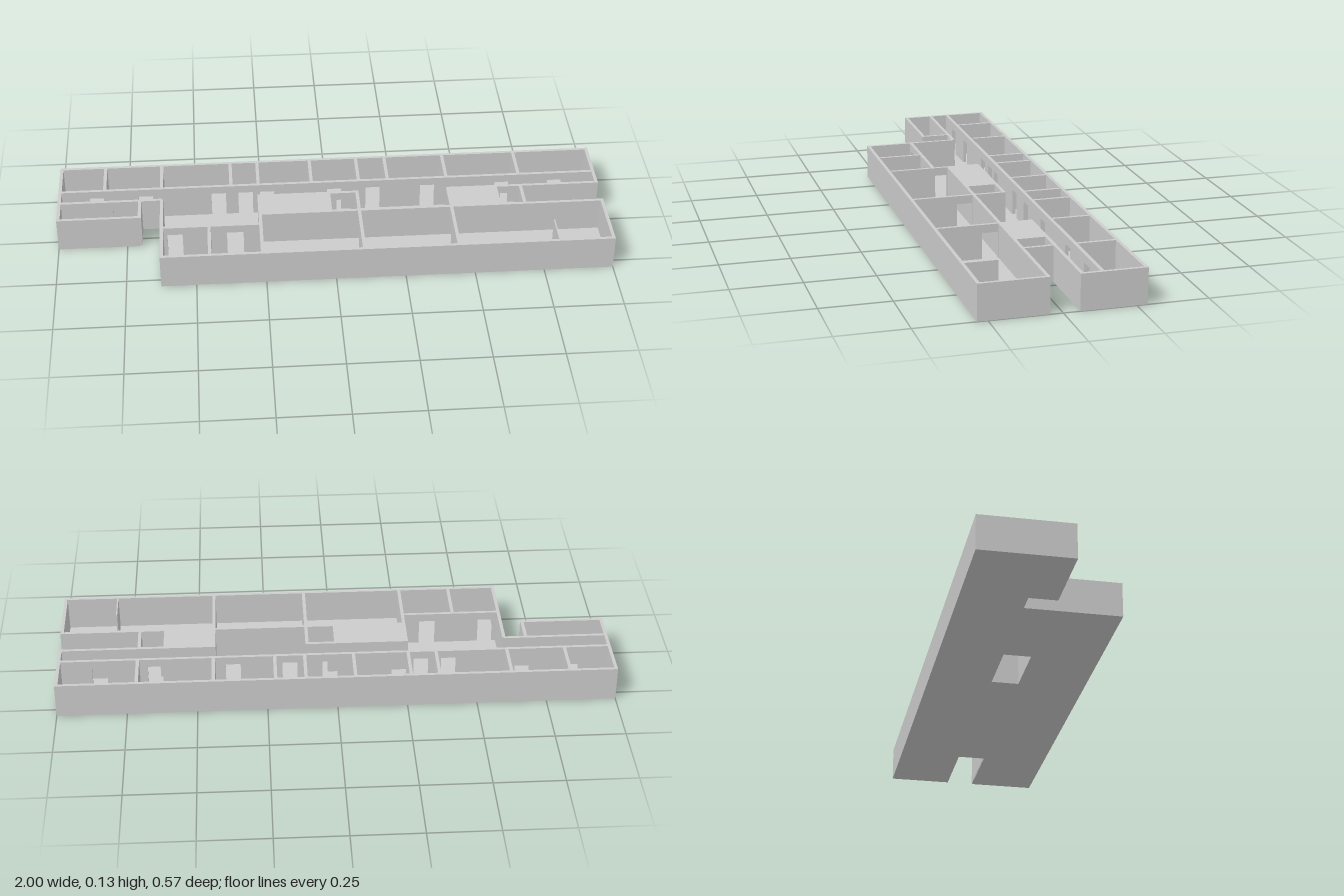
import * as THREE from 'three';

const H = 0.128;      // wall height
const FLOOR = 0.004;  // slab thickness
const T = 0.012;      // wall thickness
const DOOR_H = 0.098;

const material = new THREE.MeshStandardMaterial({ color: 0xcccccc, flatShading: true });

// Shape of a straight wall seen from its side, with door notches cut up from the floor
function wallShape(from, to, doors) {
  const s = new THREE.Shape();
  s.moveTo(from, FLOOR);
  for (const [a, b] of doors) {
    s.lineTo(a, FLOOR);
    s.lineTo(a, DOOR_H);
    s.lineTo(b, DOOR_H);
    s.lineTo(b, FLOOR);
  }
  s.lineTo(to, FLOOR);
  s.lineTo(to, H);
  s.lineTo(from, H);
  s.closePath();
  return s;
}

export function createModel() {
  const model = new THREE.Group();
  model.name = 'floorPlan';

  function add(name, geometry, parent = model) {
    const mesh = new THREE.Mesh(geometry, material);
    mesh.name = name;
    parent.add(mesh);
    return mesh;
  }

  // Wall running along x, centred on z
  function wallX(name, z, from, to, doors = [], t = T) {
    const g = new THREE.ExtrudeGeometry(wallShape(from, to, doors), { depth: t, bevelEnabled: false });
    add(name, g.translate(0, 0, z - t / 2));
  }

  // Wall running along z, centred on x (doors are given in z)
  function wallZ(name, x, from, to, doors = [], t = T) {
    const flipped = doors.map(([a, b]) => [-b, -a]).reverse();
    const g = new THREE.ExtrudeGeometry(wallShape(-to, -from, flipped), { depth: t, bevelEnabled: false });
    add(name, g.rotateY(Math.PI / 2).translate(x - t / 2, 0, 0));
  }

  // Floor slab with an open stairwell
  const outline = [
    [-1, -0.287], [1, -0.287], [1, -0.057], [0.715, -0.057], [0.715, 0.045], [1, 0.045],
    [1, 0.287], [-0.626, 0.287], [-0.626, -0.057], [-0.706, -0.057], [-0.706, 0.045], [-1, 0.045],
  ];
  const plan = new THREE.Shape(outline.map(([x, z]) => new THREE.Vector2(x, -z)));
  const well = [[-0.256, -0.057], [-0.011, -0.057], [-0.011, 0.045], [-0.256, 0.045]];
  plan.holes.push(new THREE.Path(well.map(([x, z]) => new THREE.Vector2(x, -z))));
  add('floorSlab', new THREE.ExtrudeGeometry(plan, { depth: FLOOR, bevelEnabled: false }).rotateX(-Math.PI / 2));

  // Outer walls
  wallX('backWall', -0.281, -1, 1);
  wallX('frontWall', 0.281, -0.626, 1);
  wallZ('leftEndBackWall', 0.994, -0.287, -0.057);
  wallZ('leftEndFrontWall', 0.994, 0.045, 0.287);
  wallZ('rightEndWall', -0.994, -0.287, 0.045);
  wallX('rightRoomFrontWall', 0.039, -1, -0.706);
  wallZ('rightRoomSideWall', -0.7, -0.063, 0.045);
  wallZ('lobbySideWall', -0.62, -0.063, 0.287);
  wallZ('recessWall', 0.709, -0.063, 0.056);

  // Corridor walls, with one door for each back room
  const doorCentres = [-0.86, -0.68, -0.41, -0.31, -0.23, 0.02, 0.165, 0.37, 0.65, 0.85];
  wallX('corridorBackWall', -0.134, -1, 1, doorCentres.map((c) => [c - 0.027, c + 0.027]));
  wallX('corridorRightWall', -0.063, -1, -0.62, [[-0.8, -0.745]]);
  wallX('corridorStairWall', -0.063, -0.268, 0.106, [[0.025, 0.08]]);
  wallX('corridorLeftWall', -0.063, 0.432, 1, [[0.635, 0.69]]);

  // Dividers between the back rooms
  for (const x of [-0.83, -0.62, -0.363, -0.262, -0.064, 0.112, 0.22, 0.44, 0.712]) {
    wallZ('backRoomDivider', x, -0.281, -0.134);
  }

  // Front rooms, linked by doors beside their rear wall
  wallX('lobbyFrontWall', 0.11, -0.62, -0.262, [[-0.6, -0.545], [-0.385, -0.325]]);
  wallZ('frontRoomDivider', -0.449, 0.11, 0.281);
  wallZ('lobbyRoomDivider', -0.262, -0.063, 0.281, [[0.058, 0.104]]);
  wallZ('frontRoomDivider', 0.1, 0.05, 0.281, [[0.058, 0.115]]);
  wallZ('frontRoomDivider', 0.438, 0.05, 0.281, [[0.058, 0.115]]);
  wallX('frontRoomsRearWall', 0.05, -0.262, 1);
  wallZ('partition', 0.8, 0.16, 0.281, [], 0.005);

  // Two covered blocks, each with a small room beside it
  const blocks = [[-0.262, -0.005, 0.1], [0.438, 0.615, 0.709]];
  for (const [x0, x1, x2] of blocks) {
    wallZ('blockWall', x0, -0.063, 0.05);
    wallZ('blockInnerWall', x1, -0.063, 0.05);
    if (x2 < 0.5) wallZ('smallRoomWall', x2, -0.063, 0.05);
    const roof = add('blockRoof', new THREE.BoxGeometry(x1 - x0 + T, 0.004, 0.125));
    roof.position.set((x0 + x1) / 2, H - 0.002, -0.0065);
  }

  return model;
}
